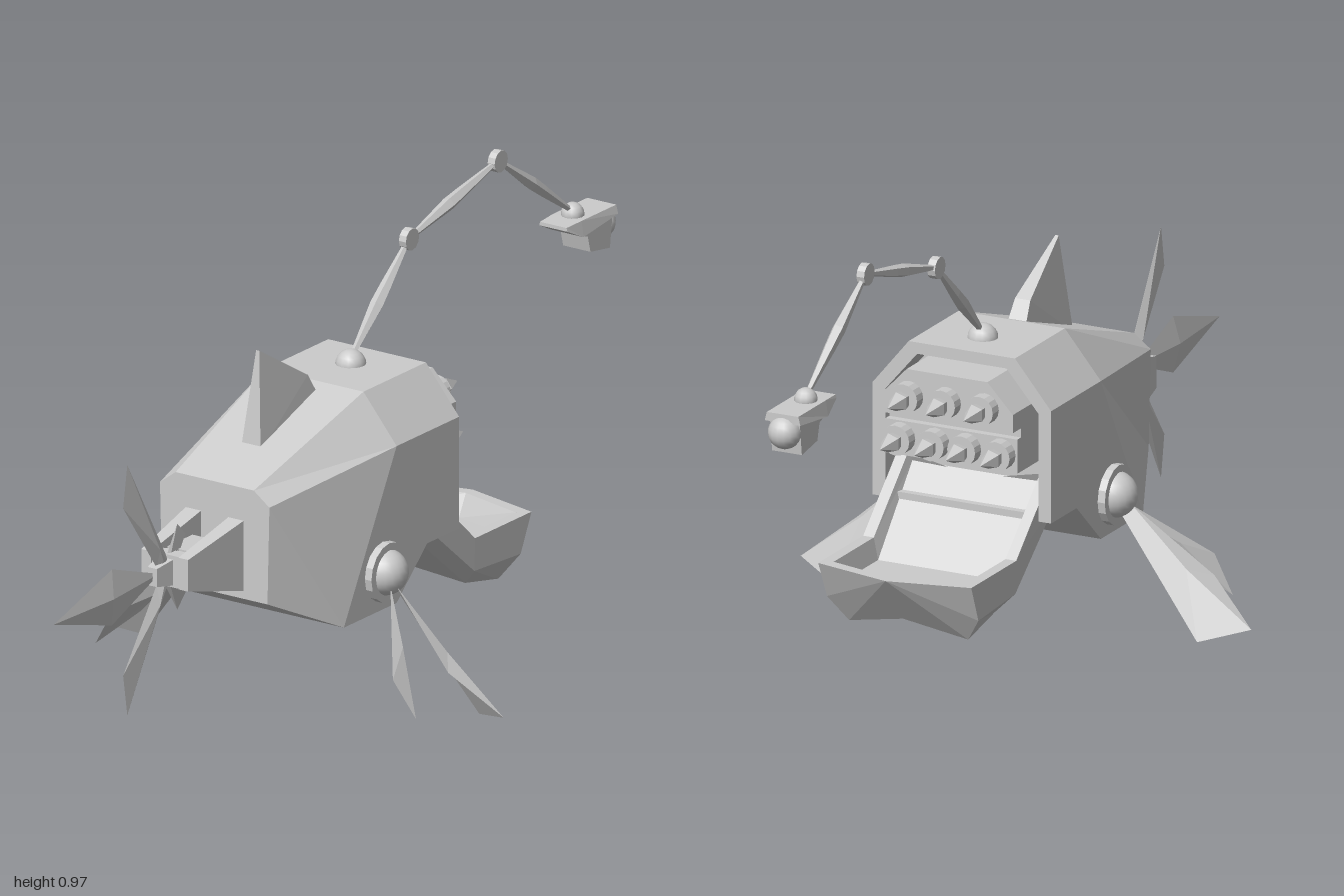
import * as THREE from 'three';

const V = (p) => new THREE.Vector3(...p);
const flat = new THREE.MeshStandardMaterial({ color: 0xcccccc, flatShading: true });
const smooth = new THREE.MeshStandardMaterial({ color: 0xcccccc });

function add(parent, name, geometry, pos = [0, 0, 0], material = flat) {
  const mesh = new THREE.Mesh(geometry, material);
  mesh.name = name;
  mesh.position.set(...pos);
  parent.add(mesh);
  return mesh;
}

function fromTriangles(tris) {
  const g = new THREE.BufferGeometry();
  g.setFromPoints(tris.flat().map(V));
  g.computeVertexNormals();
  return g;
}

// Completes a half cross-section (z >= 0) with its reflection.
const mirrored = (half) => half.concat(
  half.filter((p) => p[2] > 0).reverse().map(([x, y, z]) => [x, y, -z]));

const centre = (ring) => [0, 1, 2].map((k) => ring.reduce((s, p) => s + p[k], 0) / ring.length);

// Skins rings laid out along +x (counter-clockwise seen from +x) and caps both ends.
function loft(rings, apex) {
  const tris = [];
  const n = rings[0].length;
  const first = rings[0], last = rings[rings.length - 1];
  const start = centre(first), end = apex || centre(last);
  for (let i = 0; i < n; i++) {
    const j = (i + 1) % n;
    for (let r = 0; r < rings.length - 1; r++) {
      const a = rings[r], b = rings[r + 1];
      tris.push([a[i], a[j], b[j]], [a[i], b[j], b[i]]);
    }
    tris.push([first[j], first[i], start], [last[i], last[j], end]);
  }
  return fromTriangles(tris);
}

// Flat faceted blade: an outline with a ridge raised on both faces.
function blade(corners, thickness) {
  const c = V(centre(corners));
  const p = corners.map(V);
  const n = p[1].clone().sub(p[0]).cross(p[2].clone().sub(p[0])).setLength(thickness);
  const up = c.clone().add(n).toArray(), down = c.clone().sub(n).toArray();
  return fromTriangles(corners.flatMap((a, i) => {
    const b = corners[(i + 1) % corners.length];
    return [[a, b, up], [b, a, down]];
  }));
}

// Extrudes a z/y outline along x from x0 to x1.
function slab(half, x0, x1) {
  return loft([x0, x1].map((x) => mirrored(half.map(([y, z]) => [x, y, z]))));
}

export function createModel() {
  const model = new THREE.Group();
  model.name = 'mechanicalAnglerfish';

  // Hull with a recessed mouth; each half ring is top, shoulder, bottom
  add(model, 'body', loft([
    [[-0.42, 0.53, 0.1], [-0.42, 0.5, 0.14], [-0.42, 0.285, 0.135]],
    [[-0.06, 0.65, 0.125], [-0.06, 0.547, 0.21], [-0.25, 0.2, 0.21]],
    [[0.0, 0.65, 0.125], [0.0, 0.547, 0.21], [-0.06, 0.2, 0.21]],
    [[0.06, 0.65, 0.125], [0.06, 0.547, 0.21], [0.05, 0.3, 0.21]],
    [[0.165, 0.65, 0.125], [0.165, 0.547, 0.21], [0.165, 0.3, 0.21]],
    [[0.165, 0.625, 0.105], [0.165, 0.537, 0.18], [0.165, 0.315, 0.18]],
    [[0.08, 0.625, 0.105], [0.08, 0.537, 0.18], [0.08, 0.315, 0.18]],
  ].map(mirrored)));

  // Gums
  add(model, 'upperGum', slab([[0.613, 0.095], [0.55, 0.155], [0.51, 0.155]], 0.07, 0.232));
  add(model, 'gumStep', slab([[0.52, 0.155], [0.48, 0.155]], 0.07, 0.195));
  add(model, 'lowerGum', slab([[0.49, 0.155], [0.415, 0.155]], 0.07, 0.212));

  // Teeth: round socket and a five-sided spike
  const spike = new THREE.LatheGeometry(
    [[0, 0], [0.014, 0], [0.022, 0.035], [0, 0.085]].map((p) => new THREE.Vector2(...p)), 5);
  const socket = new THREE.CylinderGeometry(0.033, 0.033, 0.035, 16);
  const rows = [[0.232, 0.555, [-0.089, 0, 0.089]], [0.212, 0.454, [-0.118, -0.037, 0.037, 0.118]]];
  for (const [x, y, zs] of rows) for (const z of zs) {
    const tooth = new THREE.Group();
    tooth.name = 'tooth';
    add(tooth, 'toothSocket', socket, [0, 0.01, 0]);
    add(tooth, 'toothSpike', spike, [0, 0.012, 0]);
    tooth.position.set(x, y, z);
    tooth.rotation.z = -Math.PI / 2;
    model.add(tooth);
  }

  // Scoop jaw; half rings run floor, inner rim, outer rim, side, underside
  add(model, 'lowerJaw', loft([
    [[0.1, 0.365, 0], [0.1, 0.365, 0.15], [0.11, 0.385, 0.155], [0.11, 0.385, 0.18],
      [0.085, 0.32, 0.18], [0.08, 0.3, 0.14], [0.08, 0.3, 0]],
    [[0.265, 0.195, 0], [0.265, 0.195, 0.145], [0.265, 0.243, 0.155], [0.265, 0.243, 0.18],
      [0.265, 0.17, 0.178], [0.285, 0.13, 0.14], [0.285, 0.14, 0]],
    [[0.46, 0.195, 0], [0.43, 0.195, 0.145], [0.445, 0.243, 0.155], [0.467, 0.243, 0.18],
      [0.43, 0.16, 0.178], [0.4, 0.106, 0.14], [0.42, 0.137, 0]],
    [[0.485, 0.243, 0], [0.446, 0.243, 0.155], [0.447, 0.243, 0.156], [0.468, 0.243, 0.18],
      [0.432, 0.16, 0.178], [0.405, 0.105, 0.14], [0.43, 0.137, 0]],
  ].map(mirrored), [0.51, 0.243, 0]));

  // Dorsal fin, thick at the foot and thin at the tip
  const dorsal = (s) => [[-0.29, 0.56, 0.025 * s], [-0.265, 0.775, 0.004 * s],
    [-0.11, 0.68, 0.018 * s], [-0.08, 0.63, 0.022 * s]];
  const [l, r] = [dorsal(1), dorsal(-1)];
  const sides = [[l[0], l[2], l[1]], [l[0], l[3], l[2]], [r[0], r[1], r[2]], [r[0], r[2], r[3]]];
  const edges = [0, 1, 2, 3].flatMap((i) => {
    const j = (i + 1) % 4;
    return [[l[i], l[j], r[j]], [l[i], r[j], r[i]]];
  });
  add(model, 'dorsalFin', fromTriangles(sides.concat(edges)));

  // Side fins: collar, ball joint and two blades on each flank
  for (const s of [1, -1]) {
    const fin = new THREE.Group();
    fin.name = s > 0 ? 'leftFins' : 'rightFins';
    const collar = add(fin, 'finCollar', new THREE.CylinderGeometry(0.065, 0.065, 0.04, 16), [-0.11, 0.285, 0.207 * s]);
    collar.rotation.x = Math.PI / 2;
    add(fin, 'finBall', new THREE.SphereGeometry(0.05, 20, 14), [-0.11, 0.285, 0.216 * s], smooth);
    const flip = ([x, y, z]) => [x, y, z * s];
    add(fin, 'frontBlade', blade([[-0.12, 0.265, 0.25], [-0.17, 0.12, 0.42], [-0.125, 0.03, 0.53],
      [-0.072, 0.003, 0.43], [-0.1, 0.25, 0.235]].map(flip), 0.012));
    add(fin, 'rearBlade', blade([[-0.125, 0.265, 0.24], [-0.285, 0.125, 0.36], [-0.272, 0.045, 0.41],
      [-0.215, 0.115, 0.335], [-0.115, 0.25, 0.235]].map(flip), 0.012));
    model.add(fin);

    // Tail fork plate
    const plate = [[-0.6, 0.35, 0.42, 0.06], [-0.41, 0.3, 0.46, 0.075]].map(([x, lo, hi, out]) => {
      const ring = [[x, hi, 0.035], [x, hi, out], [x, lo, out], [x, lo, 0.035]].map(flip);
      return s > 0 ? ring : ring.reverse();
    });
    add(model, 'tailFork', loft(plate));
  }
  add(model, 'tailCrossBar', new THREE.BoxGeometry(0.03, 0.07, 0.08), [-0.582, 0.385, 0]);
  add(model, 'tailCore', new THREE.BoxGeometry(0.09, 0.08, 0.05), [-0.51, 0.38, 0]);
  add(model, 'tailHub', loft([[-0.645, 0.02, 0.012], [-0.56, 0.035, 0.025]].map(([x, h, w]) =>
    mirrored([[x, 0.383 + h, w], [x, 0.383 - h, w]]))));

  // Tail fan
  add(model, 'tailMiddleBlade', blade([[-1, 0.38, 0], [-0.79, 0.318, 0], [-0.62, 0.383, 0], [-0.79, 0.442, 0]], 0.012));
  for (const s of [1, -1]) {
    const p = (x, y) => [x, 0.38 + y * s, 0];
    add(model, 'tailOuterBlade', blade([p(-0.735, 0.277), p(-0.75, 0.185), p(-0.63, 0.02), p(-0.555, -0.095),
      p(-0.525, -0.065), p(-0.6, 0.045)], 0.012));
  }

  // Lure stalk: tapered links between flat pivots
  const path = [[0.07, 0.66, 0], [0.28, 0.865, 0], [0.6, 0.945, 0], [0.87, 0.755, 0]].map(V);
  add(model, 'stalkBase', new THREE.SphereGeometry(0.033, 14, 10), [0.07, 0.648, 0], smooth);
  for (let i = 0; i < 3; i++) {
    const dir = path[i + 1].clone().sub(path[i]);
    const len = dir.length();
    const profile = [[0.005, 0], [0.015, 0.45 * len], [0.013, 0.6 * len], [0.005, len]];
    const link = add(model, 'stalkLink', new THREE.LatheGeometry(
      profile.map((p) => new THREE.Vector2(...p)), 5), path[i].toArray());
    link.quaternion.setFromUnitVectors(new THREE.Vector3(0, 1, 0), dir.normalize());
    if (i > 0) {
      const pivot = add(model, 'stalkPivot', new THREE.CylinderGeometry(0.024, 0.024, 0.018, 12), path[i].toArray());
      pivot.rotation.x = Math.PI / 2;
    }
  }

  // Lantern housing with a hood, and its bulb
  const housing = new THREE.Shape([[0.885, 0.668], [0.955, 0.657], [0.965, 0.735], [0.85, 0.735], [0.85, 0.713],
    [0.875, 0.705]].map((p) => new THREE.Vector2(...p)));
  add(model, 'lanternHousing', new THREE.ExtrudeGeometry(housing, { depth: 0.07, bevelEnabled: false }), [0, 0, -0.035]);
  add(model, 'lanternHood', loft([
    [[0.8, 0.745, 0.034], [0.8, 0.737, 0.036]],
    [[0.85, 0.747, 0.037], [0.85, 0.712, 0.042]],
    [[0.975, 0.747, 0.037], [0.975, 0.728, 0.042]],
  ].map(mirrored)));
  add(model, 'lanternMount', new THREE.SphereGeometry(0.025, 12, 8), [0.87, 0.75, 0], smooth);
  add(model, 'lanternBulb', new THREE.SphereGeometry(0.036, 16, 12), [0.964, 0.705, 0], smooth);
  return model;
}
